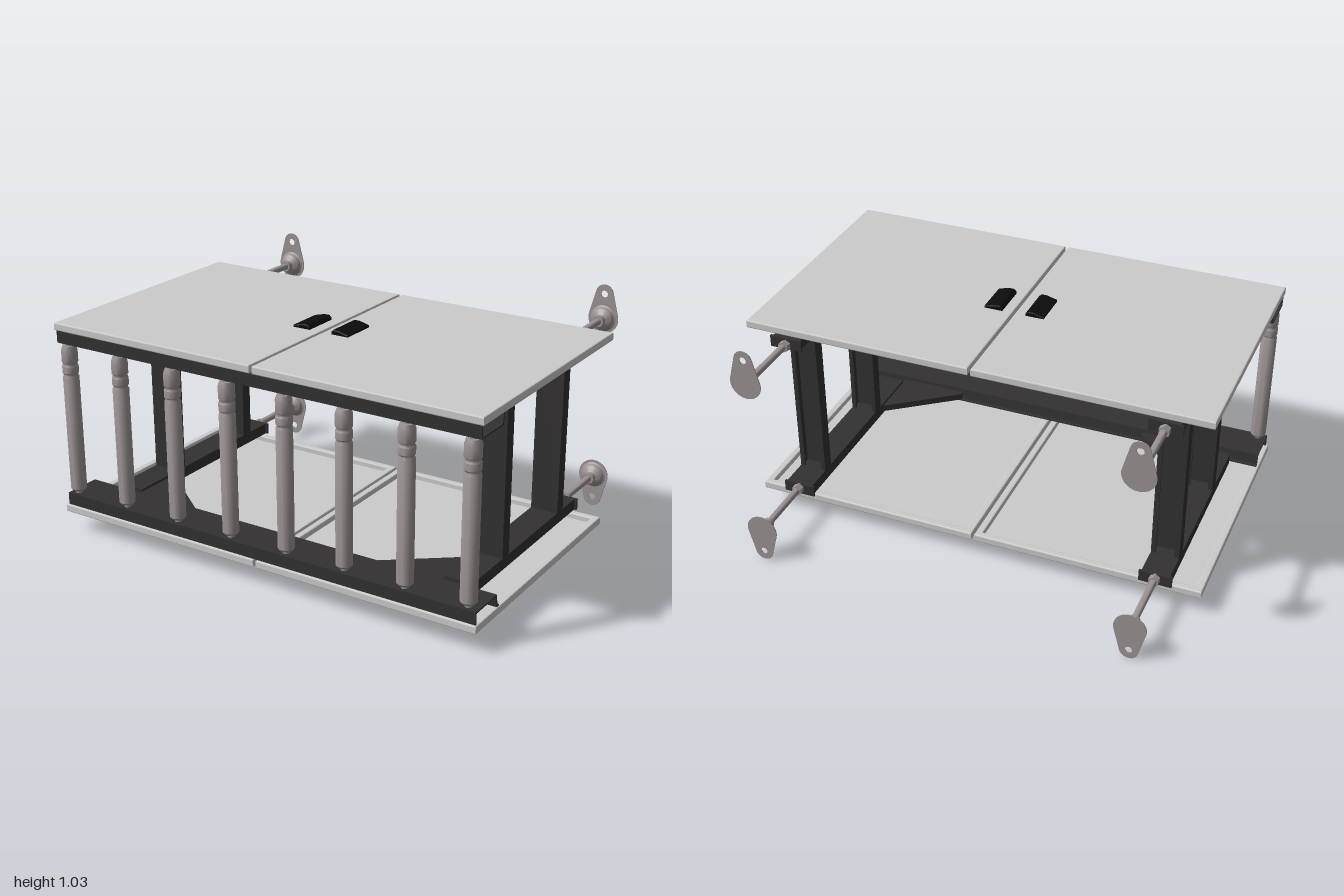
import * as THREE from 'three';
import { toCreasedNormals } from 'three/addons/utils/BufferGeometryUtils.js';

const mat = (color) => new THREE.MeshStandardMaterial({ color });
const panelMat = mat(0xcccccc);
const frameMat = mat(0x333132);
const gripMat = mat(0x0c0c0c);
const metalMat = mat(0x9c9393);

function add(parent, name, geometry, material, x = 0, y = 0, z = 0) {
  const mesh = new THREE.Mesh(geometry, material);
  mesh.name = name;
  mesh.position.set(x, y, z);
  parent.add(mesh);
  return mesh;
}

const polygon = (pts) => new THREE.Shape(pts.map(([a, b]) => new THREE.Vector2(a, b)));
const rectangle = (w, d) => polygon([[-w / 2, -d / 2], [w / 2, -d / 2], [w / 2, d / 2], [-w / 2, d / 2]]);
const extrude = (shape, depth, bevel = 0) => new THREE.ExtrudeGeometry(shape, {
  depth: depth - 2 * bevel, bevelEnabled: bevel > 0, bevelSize: bevel, bevelThickness: bevel,
  bevelOffset: -bevel, bevelSegments: 2, curveSegments: 20,
}).translate(0, 0, bevel);
const lathe = (pts, segments = 24) => toCreasedNormals(
  new THREE.LatheGeometry(pts.map(([r, h]) => new THREE.Vector2(r, h)), segments), 0.6);

// Shallow tray: a thin sheet with a folded rim on its inner side
function buildPanel(parent, x0, x1) {
  const w = x1 - x0, d = 1.115, x = (x0 + x1) / 2, z = 0.17;
  const rim = rectangle(w, d);
  rim.holes.push(rectangle(w - 0.06, d - 0.06));
  add(parent, 'panelRim', extrude(rim, 0.034, 0.005).rotateX(-Math.PI / 2), panelMat, x, 0.911, z);
  add(parent, 'panelSheet', new THREE.BoxGeometry(w - 0.012, 0.01, d - 0.012), panelMat, x, 0.94, z);
}

// Wedge-shaped grip, thickest towards the middle gap
function buildGrip(parent, side) {
  const profile = polygon([[0.052, 0], [0.052, 0.012], [0.062, 0.021], [0.085, 0.021], [0.132, 0.009], [0.132, 0]]
    .map(([x, y]) => [side * x, y]));
  add(parent, 'grip', extrude(profile, 0.165, 0.004), gripMat, 0, 0.944, 0.08);
}

// Wall fixing: threaded rod, domed foot and teardrop plate with a screw hole
function buildWallMount(parent, x) {
  const y = 0.882;
  const rod = lathe([[0, 0], [0.015, 0], [0.015, 0.27], [0.024, 0.27], [0.024, 0.292], [0.034, 0.298],
    [0.046, 0.305], [0.051, 0.315], [0.051, 0.322], [0.06, 0.327], [0, 0.327]]).rotateX(-Math.PI / 2);
  add(parent, 'rodAndFoot', rod, metalMat, x, y, -0.4);
  const nut = new THREE.CylinderGeometry(0.024, 0.024, 0.03, 6).rotateX(Math.PI / 2);
  add(parent, 'rodNut', toCreasedNormals(nut, 0.6), metalMat, x, y, -0.417);
  add(parent, 'beamEndPlate', new THREE.BoxGeometry(0.14, 0.05, 0.01), frameMat, x, 0.886, -0.401);
  const t = 0.26;
  const drop = new THREE.Shape();
  drop.absarc(0, 0, 0.068, Math.PI - t, 2 * Math.PI + t, false);
  drop.absarc(0, 0.11, 0.04, t, Math.PI - t, false);
  drop.closePath();
  const hole = new THREE.Path();
  hole.absarc(0, 0.108, 0.015, 0, 2 * Math.PI, true);
  drop.holes.push(hole);
  add(parent, 'wallPlate', toCreasedNormals(extrude(drop, 0.004), 0.6), metalMat, x, y, -0.73);
}

// One complete shelf level, built as the upper one
function buildLevel(name) {
  const level = new THREE.Group();
  level.name = name;
  buildPanel(level, -0.995, -0.004);
  buildPanel(level, 0.009, 1);

  // Folded sheet channel that carries the spindles
  const channel = polygon([[0.72, 0.91], [0.714, 0.91], [0.714, 0.863], [0.56, 0.863], [0.553, 0.911],
    [0.535, 0.911], [0.535, 0.905], [0.548, 0.905], [0.554, 0.857], [0.72, 0.857]]);
  add(level, 'frontChannel', extrude(channel, 1.98).rotateY(-Math.PI / 2), frameMat, 0.99);

  for (const s of [-1, 1]) {
    buildGrip(level, s);
    const x = s * 0.81;
    add(level, 'sideBeam', new THREE.BoxGeometry(0.12, 0.05, 0.92), frameMat, x, 0.886, 0.06);
    // Corner brace between beam and channel
    const brace = polygon([[s * 0.75, -0.56], [s * 0.45, -0.56], [s * 0.45, -0.53], [s * 0.75, -0.3]]);
    add(level, 'cornerBrace', extrude(brace, 0.03).rotateX(-Math.PI / 2), frameMat, 0, 0.872, 0);
    buildWallMount(level, x);
  }
  return level;
}

export function createModel() {
  const model = new THREE.Group();
  model.name = 'wallShelfUnit';

  // The lower level is the upper one turned over
  const lower = buildLevel('lowerLevel');
  lower.rotation.z = Math.PI;
  lower.position.y = 1.035;
  model.add(buildLevel('upperLevel'), lower);

  // Lipped channel columns, open towards the back
  const half = [[0.06, -0.0275], [0.06, 0.0275], [0.04, 0.0275], [0.04, 0.0205], [0.053, 0.0205], [0.053, -0.0205]];
  const section = polygon([...half, ...half.map(([x, y]) => [-x, y]).reverse()]);
  const column = extrude(section, 0.687).rotateX(-Math.PI / 2);
  for (const x of [-0.81, 0.81]) {
    for (const z of [0.25, -0.248]) add(model, 'column', column, frameMat, x, 0.174, z);
  }

  // Turned spindles along the front, with a pin at each end
  const spindle = lathe([[0, 0.155], [0.009, 0.155], [0.009, 0.18], [0.015, 0.18], [0.015, 0.193], [0.027, 0.193],
    [0.034, 0.203], [0.034, 0.708], [0.03, 0.715], [0.03, 0.722], [0.034, 0.727], [0.034, 0.757], [0.03, 0.763],
    [0.03, 0.769], [0.034, 0.775], [0.034, 0.825], [0.027, 0.846], [0.015, 0.846], [0.015, 0.858],
    [0.009, 0.858], [0.009, 0.878], [0, 0.878]]);
  for (let i = 0; i < 8; i++) add(model, 'spindle', spindle, metalMat, -0.953 + i * 0.271, 0, 0.692);
  return model;
}
